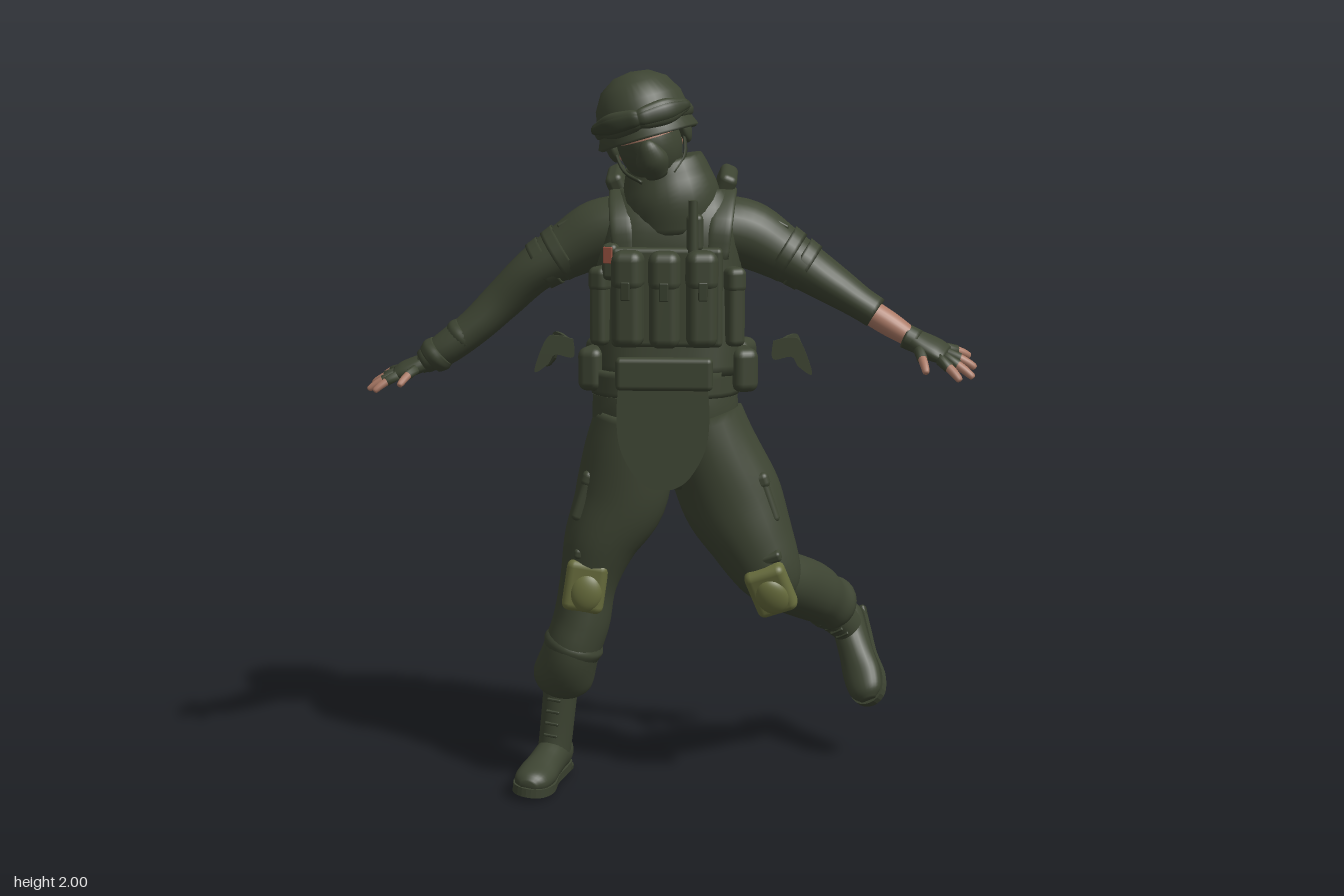
import * as THREE from 'three';
import { RoundedBoxGeometry } from 'three/addons/geometries/RoundedBoxGeometry.js';

const mat = (name, color) => Object.assign(new THREE.MeshStandardMaterial({ color }), { name });
const X = new THREE.Vector3(1, 0, 0), Y = new THREE.Vector3(0, 1, 0);

// Smooth closed sweep; each section is [x, y, z, radius along ref, radius across]
function loft(sections, ref = X, power = 1, sides = 24, per = 5) {
  const path = new THREE.CatmullRomCurve3(sections.map(s => new THREE.Vector3(s[0], s[1], s[2])), false, 'catmullrom');
  const size = new THREE.CatmullRomCurve3(sections.map(s => new THREE.Vector3(s[3], s[4], 0)), false, 'catmullrom');
  const n = (sections.length - 1) * per, pos = [], idx = [];
  const bend = v => Math.sign(v) * Math.abs(v) ** power;
  for (let i = 0; i <= n; i++) {
    const p = path.getPoint(i / n), r = size.getPoint(i / n), t = path.getTangent(i / n);
    const a = ref.clone().addScaledVector(t, -ref.dot(t)).normalize();
    const b = new THREE.Vector3().crossVectors(t, a);
    for (let j = 0; j < sides; j++) {
      const w = j / sides * Math.PI * 2;
      const q = p.clone().addScaledVector(a, r.x * bend(Math.cos(w))).addScaledVector(b, r.y * bend(Math.sin(w)));
      pos.push(q.x, q.y, q.z);
      if (i < n) {
        const k = i * sides + j, l = i * sides + (j + 1) % sides;
        idx.push(k, l, l + sides, k, l + sides, k + sides);
      }
    }
  }
  const c = (n + 1) * sides, last = n * sides;
  for (const u of [0, 1]) pos.push(...path.getPoint(u).toArray());
  for (let j = 0; j < sides; j++) {
    const k = (j + 1) % sides;
    idx.push(c, k, j, c + 1, last + j, last + k);
  }
  const g = new THREE.BufferGeometry();
  g.setAttribute('position', new THREE.Float32BufferAttribute(pos, 3));
  g.setIndex(idx);
  g.computeVertexNormals();
  return g;
}

export function createModel() {
  const green = mat('field green', 0x3d4432), dark = mat('dark green', 0x363d2c);
  const skin = mat('skin', 0xaa7965), olive = mat('olive pad', 0x686d3d);
  const red = mat('red tag', 0x96503f), black = mat('eye black', 0x1d1c19);
  const root = new THREE.Group();
  root.name = 'soldier';

  const add = (name, geo, m = green, parent = root, at = [0, 0, 0], rot = [0, 0, 0]) => {
    const o = new THREE.Mesh(geo, m);
    o.name = name;
    o.position.set(...at);
    o.rotation.set(...rot);
    parent.add(o);
    return o;
  };
  const box = (name, size, at, rot, m, parent) =>
    add(name, new RoundedBoxGeometry(...size, 3, Math.min(...size) * 0.35), m, parent, at, rot);
  const ball = (name, r, at, rot, m, parent) =>
    add(name, new THREE.SphereGeometry(1, 28, 20), m, parent, at, rot).scale.set(...r);
  const plate = (name, pts, depth, at, rot, m, parent) =>
    add(name, new THREE.ExtrudeGeometry(new THREE.Shape(new THREE.SplineCurve(
      pts.map(p => new THREE.Vector2(...p))).getPoints(40)), { depth, bevelEnabled: false }), m, parent, at, rot);

  // Torso, jacket hem and vest
  add('jacket', loft([[-.02, 1.0, .085, .2, .148], [-.02, 1.1, .085, .2, .155], [-.01, 1.25, .075, .18, .14],
    [0, 1.45, .06, .19, .14], [0, 1.6, .05, .19, .12], [0, 1.68, .05, .13, .09]]));
  add('trouserSeat', loft([[-.01, .86, .085, .1, .09], [-.01, .94, .085, .18, .13], [-.02, 1.03, .085, .187, .14]]));
  add('vest', loft([[-.01, 1.17, .075, .195, .15], [-.01, 1.3, .065, .2, .15], [-.01, 1.45, .055, .2, .153],
    [0, 1.58, .05, .185, .148], [0, 1.67, .04, .15, .1]], X, .65, 32));
  add('belt', loft([[-.02, 1.12, .08, .205, .16], [-.02, 1.19, .08, .205, .16]], X, .8));
  add('backPanel', loft([[-.01, 1.22, -.04, .14, .04], [-.01, 1.28, -.045, .175, .055], [-.01, 1.48, -.047, .175, .058],
    [-.01, 1.61, -.035, .165, .055], [-.01, 1.665, -.025, .14, .045], [-.01, 1.685, -.015, .1, .03]], X, .6));
  box('chestPanel', [.3, .27, .04], [-.01, 1.395, .205]);
  add('collar', loft([[0, 1.57, .08, .13, .125], [-.005, 1.65, .085, .135, .13], [-.015, 1.71, .085, .12, .115],
    [-.025, 1.755, .085, .105, .1]]));
  add('neck', loft([[-.01, 1.6, .05, .065, .065], [-.05, 1.8, .075, .062, .065]]), skin);

  // Chest pouches with flaps
  for (const [x, z, yaw] of [[-.11, .275, -.12], [-.012, .29, 0], [.086, .275, .12]]) {
    const p = new THREE.Group();
    p.name = 'magazinePouch';
    p.position.set(x, 1.4, z);
    p.rotation.y = yaw;
    root.add(p);
    box('pouchBody', [.082, .24, .075], [0, -.01, 0], undefined, green, p);
    box('pouchFlap', [.086, .11, .082], [0, .075, .002], undefined, green, p);
    box('pouchTab', [.025, .05, .01], [0, .025, .044], undefined, dark, p);
  }
  for (const s of [-1, 1]) {
    box('sidePouch', [.05, .2, .12], [s * .165 - .01, 1.36, .15], [0, s * .5, 0]);
    box('sideFlap', [.056, .07, .126], [s * .165 - .01, 1.44, .15], [0, s * .5, 0]);
    box('beltPouch', [.07, .12, .12], [s * .2 - .01, 1.19, .12], [0, s * .3, 0]);
    box('rearBeltPouch', [.08, .13, .1], [s * .19 - .01, 1.19, -.01], [0, -s * .4, 0]);
    box('shoulderRoll', [.05, .06, .13], [s * .15 - .005, 1.695, .025], [.2, 0, -s * .4]);
    add('shoulderStrap', loft([[s * .125, 1.5, .195, .03, .008], [s * .135, 1.6, .175, .032, .01],
      [s * .14, 1.67, .06, .034, .012], [s * .13, 1.62, -.07, .034, .01], [s * .12, 1.5, -.09, .03, .008]], X, .7));
    // Loose cloth petals beside the waist
    for (const [dz, yaw] of [[.08, 0], [.02, .9]])
      plate('looseCloth', [[-.05, .035], [-.01, .045], [.025, .035], [.058, -.055], [.02, -.035], [0, -.008], [-.05, -.015], [-.05, .035]],
        .008, [s * .325, 1.225, dz], [0, s > 0 ? yaw : Math.PI - yaw, 0]);
  }
  box('tagPouch', [.045, .1, .05], [-.16, 1.49, .195], [0, -.3, 0]);
  box('redTag', [.026, .045, .008], [-.168, 1.51, .223], [0, -.3, 0], red);
  box('radio', [.045, .1, .04], [.065, 1.57, .21]);
  add('radioAntenna', new THREE.CylinderGeometry(.012, .014, .14, 12), green, root, [.062, 1.59, .245]);

  // Groin guard
  plate('groinFlap', [[-.118, .3], [-.125, .2], [-.115, .11], [-.075, .035], [-.035, .004], [0, 0], [.035, .004],
    [.075, .035], [.115, .11], [.125, .2], [.118, .3]], .025, [-.018, .88, .255], [-.03, 0, 0]);
  box('groinBand', [.262, .09, .04], [-.015, 1.195, .262]);

  // Waist pack
  const pack = new THREE.Group();
  pack.name = 'waistPack';
  pack.position.set(-.015, 1.175, -.14);
  pack.rotation.x = .1;
  root.add(pack);
  box('packSides', [.34, .19, .09], [0, -.005, .03], undefined, green, pack);
  add('packBody', loft([[0, -.14, -.005, .09, .045], [0, -.115, -.01, .122, .08], [0, -.02, -.01, .128, .086],
    [0, .07, -.01, .126, .086], [0, .12, -.005, .112, .068], [0, .143, 0, .075, .035]], X, .72), green, pack);
  for (const y of [-.08, -.04, 0]) box('packWebbing', [.17, .018, .016], [0, y, -.09], undefined, dark, pack);
  for (const x of [-.06, 0, .06]) box('packStrap', [.022, .17, .014], [x, -.03, -.091], undefined, green, pack);

  // Head, tilted toward the right shoulder
  const head = new THREE.Group();
  head.name = 'head';
  head.position.set(-.025, 1.68, .09);
  head.rotation.z = .28;
  root.add(head);
  ball('face', [.082, .11, .1], [0, .135, .03], undefined, skin, head);
  add('mask', new THREE.SphereGeometry(1, 28, 14, 0, Math.PI * 2, Math.PI * .47, Math.PI * .53), green, head, [0, .135, .036], [.02, 0, 0])
    .scale.set(.088, .118, .107);
  add('maskFront', loft([[0, .045, .105, .03, .025], [0, .085, .125, .044, .034], [0, .12, .14, .03, .024], [0, .142, .138, .012, .012]]), green, head);
  for (const s of [-1, 1]) {
    ball('eye', [.014, .006, .004], [s * .032, .157, .122], [0, s * .3, 0], black, head);
    ball('ear', [.012, .03, .02], [s * .083, .13, .02], undefined, skin, head);
    ball('earCover', [.02, .05, .045], [s * .1, .15, .015], undefined, green, head);
    add('chinStrap', loft([[s * .098, .14, .03, .01, .005], [s * .085, .075, .065, .01, .005], [s * .045, .035, .095, .01, .005]],
      new THREE.Vector3(0, .4, 1), 1, 10), dark, head);
  }
  const dome = [[.1, -.03], [.132, -.062], [.14, -.056], [.129, -.03], [.127, 0], [.119, .045], [.092, .09], [.05, .117], [0, .125]];
  add('helmet', new THREE.LatheGeometry(dome.map(p => new THREE.Vector2(...p)), 40), green, head, [0, .2, .015], [-.08, 0, 0])
    .scale.set(1, 1, 1.1);
  const band = add('goggleStrap', new THREE.TorusGeometry(.127, .012, 8, 40), green, head, [0, .187, .015], [Math.PI / 2 - .08, 0, 0]);
  band.scale.set(1, 1.1, 1.5);
  const arc = (r, h, d) => [-1.1, -.6, -.15, 0, .15, .6, 1.1].map((w, i) =>
    [Math.sin(w) * r, .203, .015 + Math.cos(w) * r * 1.1, h * [.5, 1, .9, .75, .9, 1, .5][i], d]);
  add('goggles', loft(arc(.136, .034, .018), Y, .8), green, head);
  add('goggleLens', loft(arc(.141, .024, .016), Y, .8), dark, head);

  // Sleeves and forearm
  const upper = s => [[s * .1, 1.57, .05, .09, .11], [s * .2, 1.55, .05, .094, .098],
    [s * .29, 1.503, .05, .078, .087], [s * .38, 1.45, .055, .063, .077]];
  add('leftSleeve', loft([...upper(1), [.46, 1.4, .07, .052, .064], [.51, 1.368, .08, .045, .056], [.555, 1.34, .087, .043, .055]], Y));
  add('leftForearm', loft([[.52, 1.355, .085, .035, .038], [.59, 1.313, .1, .034, .037], [.66, 1.27, .112, .026, .03]], Y), skin);
  add('rightSleeve', loft([...upper(-1), [-.47, 1.365, .05, .056, .066], [-.55, 1.29, .06, .05, .06],
    [-.63, 1.23, .07, .046, .054], [-.69, 1.193, .07, .034, .042]], Y));
  for (const s of [-1, 1]) {
    for (const [x, y, r] of [[.31, 1.495, .08], [.355, 1.467, .074]])
      add('sleeveBand', loft([[s * (x - .016), y + .01, .05, r, r + .008], [s * (x + .016), y - .01, .052, r - .004, r + .006]], Y));
    box('sleevePocket', [.1, .015, .09], [s * .27, 1.594, .05], [0, 0, -s * .5]);
  }
  for (const [x, y, z] of [[-.585, 1.265, .064], [-.655, 1.213, .07]])
    add('cuffFold', loft([[x + .016, y + .013, z, .046, .056], [x, y, z, .051, .06], [x - .016, y - .013, z, .044, .052]], Y));

  // Hands in half-finger gloves; thumbs point forward
  const hand = (name, s, at, yaw, drop, roll, scale) => {
    const g = new THREE.Group();
    g.name = name;
    g.position.set(...at);
    g.rotation.set(roll, yaw, -drop, 'YZX');
    g.scale.setScalar(scale);
    root.add(g);
    add('gloveCuff', loft([[-.02, 0, 0, .032, .036], [.015, 0, 0, .03, .036]], Y), green, g);
    add('glovePalm', loft([[-.01, 0, 0, .026, .032], [.03, 0, 0, .025, .043], [.07, 0, 0, .023, .047], [.098, 0, 0, .015, .043]], Y, .85), green, g);
    const fingers = [[.09, .034, .42, .085], [.097, .012, .12, .095], [.094, -.012, -.2, .088], [.085, -.034, -.55, .075], [.03, .036, .95, .09]];
    for (const [x, z, w, len] of fingers) {
      const at = (f, r) => [x + Math.cos(w) * len * f, -.014 * f * f, s * (z + Math.sin(w) * len * f), r, r];
      add('gloveFinger', loft([at(-.15, .015), at(.45, .0145)], Y, 1, 10, 2), green, g);
      add('fingertip', loft([at(.35, .0125), at(.7, .0115), at(.95, .009), at(1, .003)], Y, 1, 10, 3), skin, g);
    }
  };
  hand('leftHand', 1, [.655, 1.272, .112], -.24, .4, .3, 1.03);
  hand('rightHand', -1, [-.685, 1.193, .07], Math.PI, .36, -.15, .92);

  // Trousers
  add('rightTrouser', loft([[-.1, 1.05, .085, .115, .14], [-.12, .95, .09, .125, .135], [-.145, .82, .095, .128, .122],
    [-.2, .7, .1, .103, .108], [-.235, .58, .1, .08, .088], [-.255, .47, .095, .08, .1], [-.285, .38, .095, .08, .105],
    [-.31, .3, .08, .085, .085], [-.318, .27, .07, .06, .06]]));
  add('leftThigh', loft([[.08, 1.05, .085, .115, .14], [.11, .95, .09, .13, .135], [.165, .82, .095, .14, .122],
    [.22, .71, .105, .118, .11], [.27, .61, .115, .092, .09], [.29, .55, .11, .06, .06]]));
  add('leftShin', loft([[.27, .6, .13, .07, .07], [.32, .57, .04, .085, .085], [.39, .52, -.06, .08, .085],
    [.425, .485, -.11, .072, .076], [.445, .465, -.145, .08, .078], [.465, .445, -.18, .055, .055]]));
  for (const [x, y, z, tilt, s] of [[-.238, .585, .168, -.15, -1], [.275, .585, .185, .35, 1]]) {
    const pitch = s > 0 ? .3 : 0;
    box('kneePad', [.115, .145, .06], [x, y, z], [pitch, 0, tilt], olive);
    ball('kneePadCap', [.045, .055, .025], [x + .004, y - .015, z + .02], [pitch, 0, tilt], olive);
    box('kneePadTop', [.1, .03, .05], [x - s * .02, y + .088, z], [pitch, 0, tilt]);
    box('cargoPocket', [.04, .13, .18], [s * (s > 0 ? .262 : .24), .83, .09], [0, 0, s * .32]);
    box('cargoFlap', [.046, .045, .185], [s * (s > 0 ? .246 : .224), .885, .09], [0, 0, s * .32]);
  }
  add('trouserFold', loft([[-.27, .42, .095, .078, .1], [-.277, .4, .095, .086, .108], [-.285, .375, .095, .078, .1]]));

  // Boots: sole at y = 0, toe toward +z
  const boot = name => {
    const g = new THREE.Group();
    g.name = name;
    root.add(g);
    add('bootShaft', loft([[0, .3, 0, .049, .057], [0, .2, 0, .047, .056], [0, .11, 0, .046, .059], [0, .05, .005, .044, .065]]), green, g);
    add('bootFoot', loft([[0, .05, -.074, .025, .03], [0, .06, -.05, .042, .05], [0, .065, .02, .047, .055], [0, .055, .09, .05, .048],
      [0, .048, .15, .055, .04], [0, .044, .205, .047, .033], [0, .04, .232, .022, .015]]), green, g);
    plate('bootSole', [[0, .08], [.038, .06], [.044, 0], [.046, -.08], [.058, -.16], [.042, -.22], [0, -.24],
      [-.042, -.22], [-.058, -.16], [-.046, -.08], [-.044, 0], [-.038, .06], [0, .08]], .025, [0, .01, 0], [-Math.PI / 2, 0, 0], green, g);
    box('bootHeel', [.084, .025, .09], [0, .0125, -.032], undefined, dark, g);
    for (let i = 0; i < 5; i++) box('bootLace', [.04, .008, .01], [0, .1 + i * .035, .056], undefined, dark, g);
    return g;
  };
  const right = boot('rightBoot');
  right.position.set(-.345, .005, .065);
  right.rotation.set(0, -.22, -.11);
  const left = boot('leftBoot');
  const toe = new THREE.Vector3(.185, -.74, .667).normalize();
  const up = new THREE.Vector3(-.43, .41, .8);
  up.addScaledVector(toe, -up.dot(toe)).normalize();
  left.quaternion.setFromRotationMatrix(new THREE.Matrix4().makeBasis(new THREE.Vector3().crossVectors(up, toe), up, toe));
  left.position.set(.53, .335, -.295);
  return root;
}
